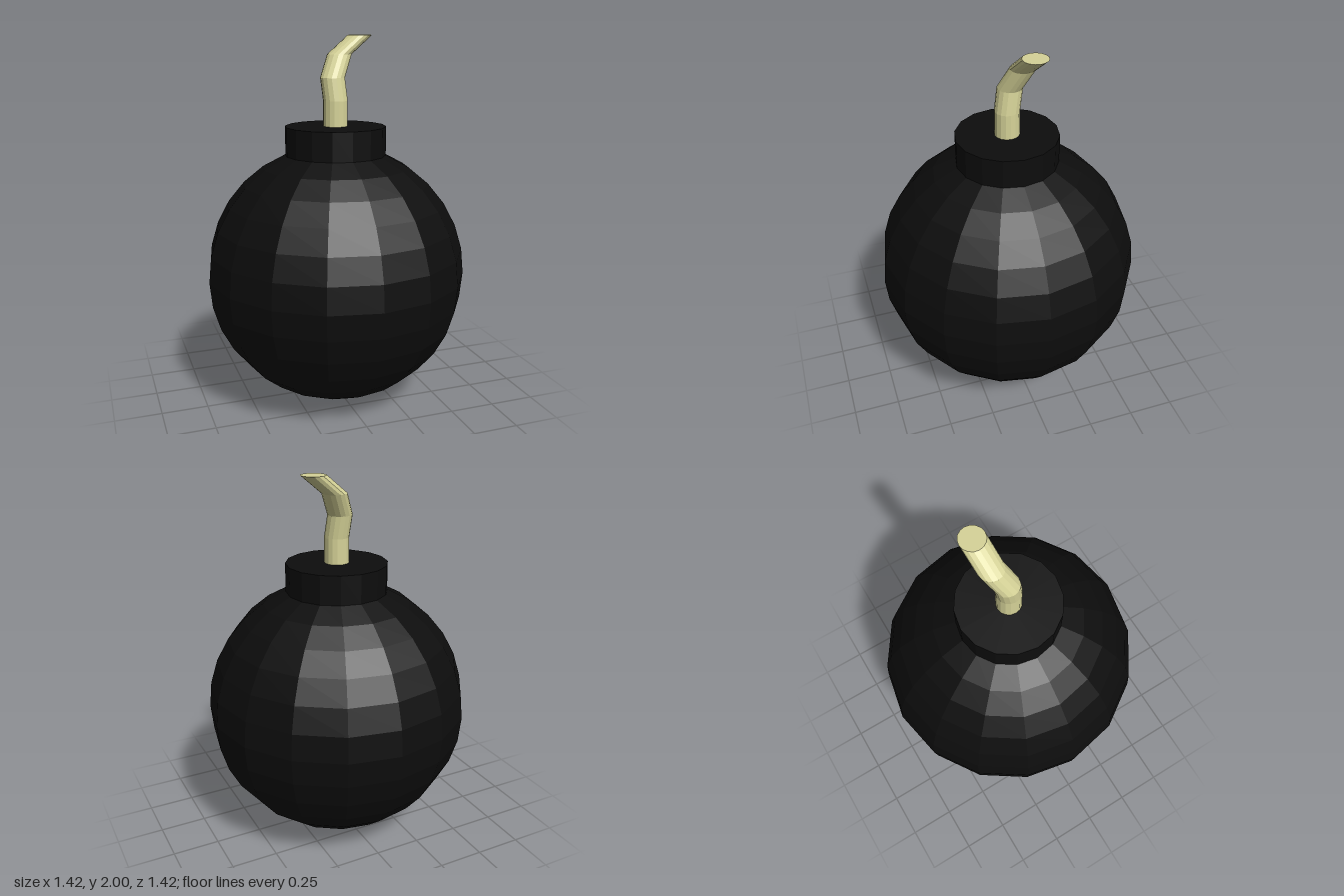
import * as THREE from 'three';

const SIDES = 16;
const R = 0.712;        // ball radius
const NECK_TOP = 1.525;

export function createModel() {
  const group = new THREE.Group();
  const black = new THREE.MeshStandardMaterial({ color: 0x0d0d0d, flatShading: true });
  const cord = new THREE.MeshStandardMaterial({ color: 0xd6d398, flatShading: true });

  // Ball: rings from the bottom pole up to the ring where the neck begins
  const profile = [];
  for (let i = 0; i <= 14; i++) {
    const a = (i * Math.PI) / 16;
    profile.push(new THREE.Vector2(i ? R * Math.sin(a) : 0, R - R * Math.cos(a)));
  }
  const ball = new THREE.Mesh(new THREE.LatheGeometry(profile, SIDES), black);
  ball.name = 'ball';
  group.add(ball);

  // Neck: straight collar rising from the last ring, with a flat top
  const edge = profile[14];
  const neckProfile = [edge, new THREE.Vector2(edge.x, NECK_TOP), new THREE.Vector2(0, NECK_TOP)];
  const neck = new THREE.Mesh(new THREE.LatheGeometry(neckProfile, SIDES), black);
  neck.name = 'neck';
  group.add(neck);

  // Fuse: a cylinder whose level rings are shifted along a bent path
  const path = [
    [0, NECK_TOP, 0],
    [0, 1.66, 0],
    [-0.01, 1.78, -0.018],
    [0.046, 1.9, -0.066],
    [0.17, 2, -0.084],
  ];
  const spans = path.length - 1;
  const geometry = new THREE.CylinderGeometry(0.066, 0.066, spans, SIDES, spans);
  const pos = geometry.attributes.position;
  for (let i = 0; i < pos.count; i++) {
    const [x, y, z] = path[Math.round(pos.getY(i) + spans / 2)];
    pos.setXYZ(i, pos.getX(i) + x, y, pos.getZ(i) + z);
  }
  geometry.computeVertexNormals();
  const fuse = new THREE.Mesh(geometry, cord);
  fuse.name = 'fuse';
  group.add(fuse);

  return group;
}
